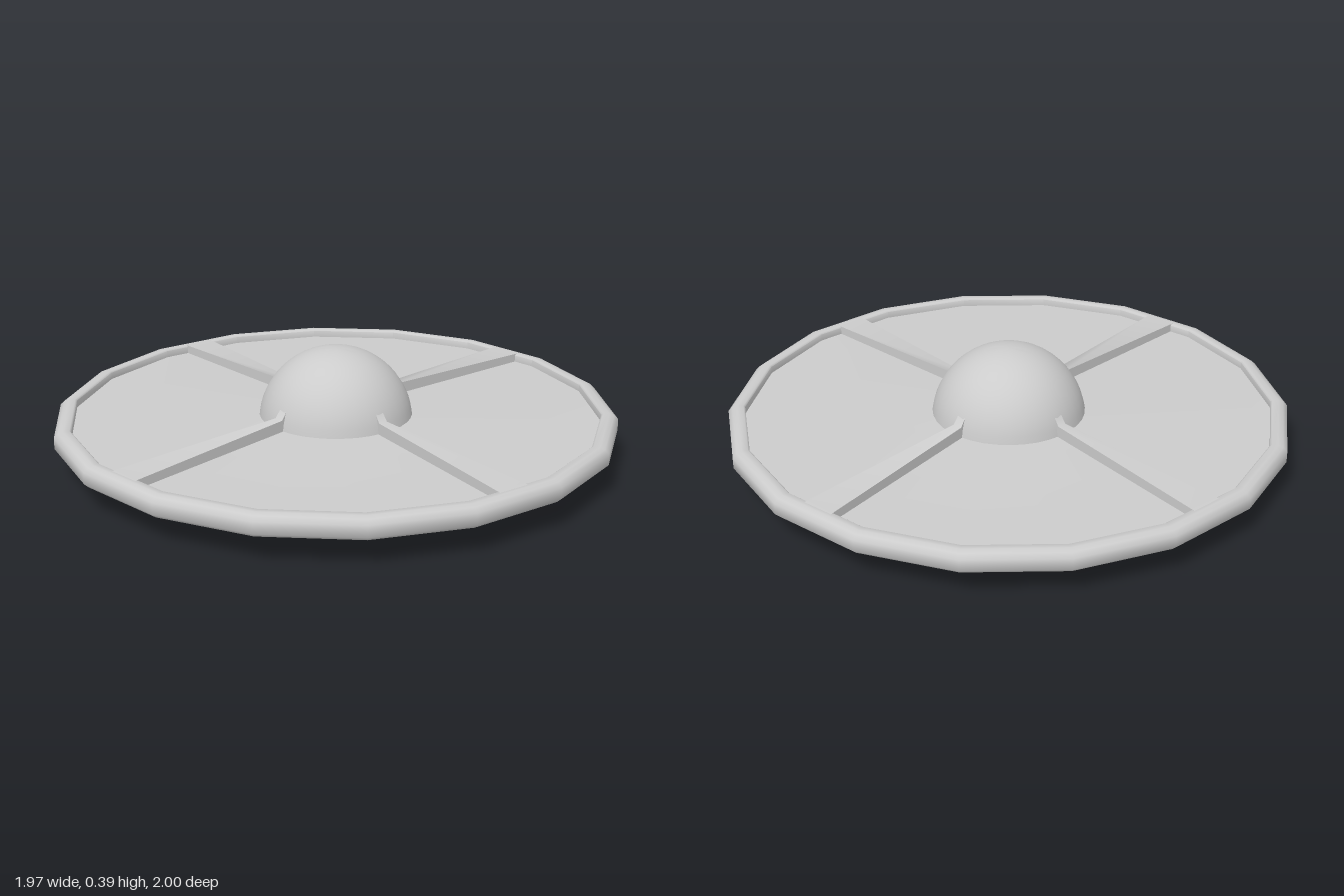
import * as THREE from 'three';
import { toCreasedNormals } from 'three/addons/utils/BufferGeometryUtils.js';

const SIDES = 18;
const STEP = 360 / SIDES;
// angular extents (degrees) of the four raised spokes
const SPOKES = [[55.1, 62.3], [137.2, 144.2], [235.1, 242.3], [317.2, 324.2]];
const inSpoke = (a) => SPOKES.some(([s, e]) => a > s && a < e);

const material = new THREE.MeshStandardMaterial({ color: 0xcccccc, side: THREE.DoubleSide });

// point of a profile [radius, height] at an angle; wide radii follow the 18-sided outline
function place([r, y], deg) {
  const off = THREE.MathUtils.degToRad(deg - STEP * Math.round(deg / STEP));
  const rad = THREE.MathUtils.degToRad(deg);
  const k = r > 0.5 ? Math.cos(Math.PI / SIDES) / Math.cos(off) : 1;
  return new THREE.Vector3(r * k * Math.cos(rad), y, -r * k * Math.sin(rad));
}

function angleList(step, withSpokes) {
  const list = [];
  for (let a = 10; a < 370; a += step) list.push(a % 360);
  if (withSpokes) list.push(...SPOKES.flat());
  list.sort((a, b) => a - b);
  return [...list, list[0] + 360];
}

// sweep a profile around the axis; across the spokes the spoke profile is used, with side walls
function sweep(name, base, step, spoke) {
  const pos = [];
  const tri = (a, b, c) => {
    const area = b.clone().sub(a).cross(c.clone().sub(a)).length();
    if (area > 1e-8) for (const p of [a, b, c]) pos.push(p.x, p.y, p.z);
  };
  const quad = (a, b, c, d) => { tri(a, b, c); tri(a, c, d); };
  const angles = angleList(step, !!spoke);
  for (let j = 0; j < angles.length - 1; j++) {
    const a = angles[j], b = angles[j + 1];
    const profile = spoke && inSpoke((a + b) / 2) ? spoke : base;
    for (let i = 0; i < profile.length - 1; i++) {
      const p = profile[i], q = profile[i + 1];
      quad(place(p, a), place(q, a), place(q, b), place(p, b));
    }
  }
  if (spoke) {
    for (const [s, e] of SPOKES) {
      for (let i = 0; i < base.length - 1; i++) {
        quad(place(base[i], s), place(base[i + 1], s), place(spoke[i + 1], s), place(spoke[i], s));
        quad(place(base[i + 1], e), place(base[i], e), place(spoke[i], e), place(spoke[i + 1], e));
      }
    }
  }
  const geo = new THREE.BufferGeometry();
  geo.setAttribute('position', new THREE.Float32BufferAttribute(pos, 3));
  const mesh = new THREE.Mesh(toCreasedNormals(geo, 0.9), material);
  mesh.name = name;
  return mesh;
}

// U-shaped grip hanging from the back
function makeHandle(name, z) {
  const w = 0.277, inner = 0.24, top = 0.112, bar = 0.057, depth = 0.057;
  const shape = new THREE.Shape();
  shape.moveTo(-w, 0);
  shape.lineTo(w, 0);
  shape.lineTo(w, top);
  shape.lineTo(inner, top);
  shape.lineTo(inner, bar + 0.008);
  shape.lineTo(inner - 0.008, bar);
  shape.lineTo(-inner + 0.008, bar);
  shape.lineTo(-inner, bar + 0.008);
  shape.lineTo(-inner, top);
  shape.lineTo(-w, top);
  shape.closePath();
  const geo = new THREE.ExtrudeGeometry(shape, { depth, bevelEnabled: false });
  geo.translate(0, 0, z - depth / 2);
  const mesh = new THREE.Mesh(geo, material);
  mesh.name = name;
  return mesh;
}

export function createModel() {
  const group = new THREE.Group();
  group.name = 'roundShield';

  // central dome, running down to the sunken plates
  const dome = [];
  const rows = 14;
  for (let i = 0; i <= rows; i++) {
    const t = (i / rows) * 1.45;
    dome.push([0.275 * Math.sin(t), 0.115 + 0.275 * Math.cos(t)]);
  }
  group.add(sweep('dome', dome, 10));

  // sunken plates with four raised spokes that climb onto the dome
  group.add(sweep('platesAndSpokes',
    [[0.265, 0.15], [0.28, 0.149], [0.94, 0.14], [0.94, 0.14]], STEP,
    [[0.25, 0.222], [0.275, 0.19], [0.94, 0.171], [0.955, 0.17]]));

  // rounded rim standing proud of the plates and the back
  group.add(sweep('rim', [[0.94, 0.14], [0.94, 0.165], [0.946, 0.17], [0.968, 0.17], [0.985, 0.164],
    [1, 0.15], [1, 0.11], [0.985, 0.096], [0.968, 0.09], [0.946, 0.09], [0.94, 0.095],
    [0.94, 0.11]], STEP));

  // recessed flat back
  group.add(sweep('back', [[0.94, 0.11], [0, 0.11]], STEP));

  // pair of grips under the back
  group.add(makeHandle('frontHandle', 0.187), makeHandle('rearHandle', -0.168));
  return group;
}
